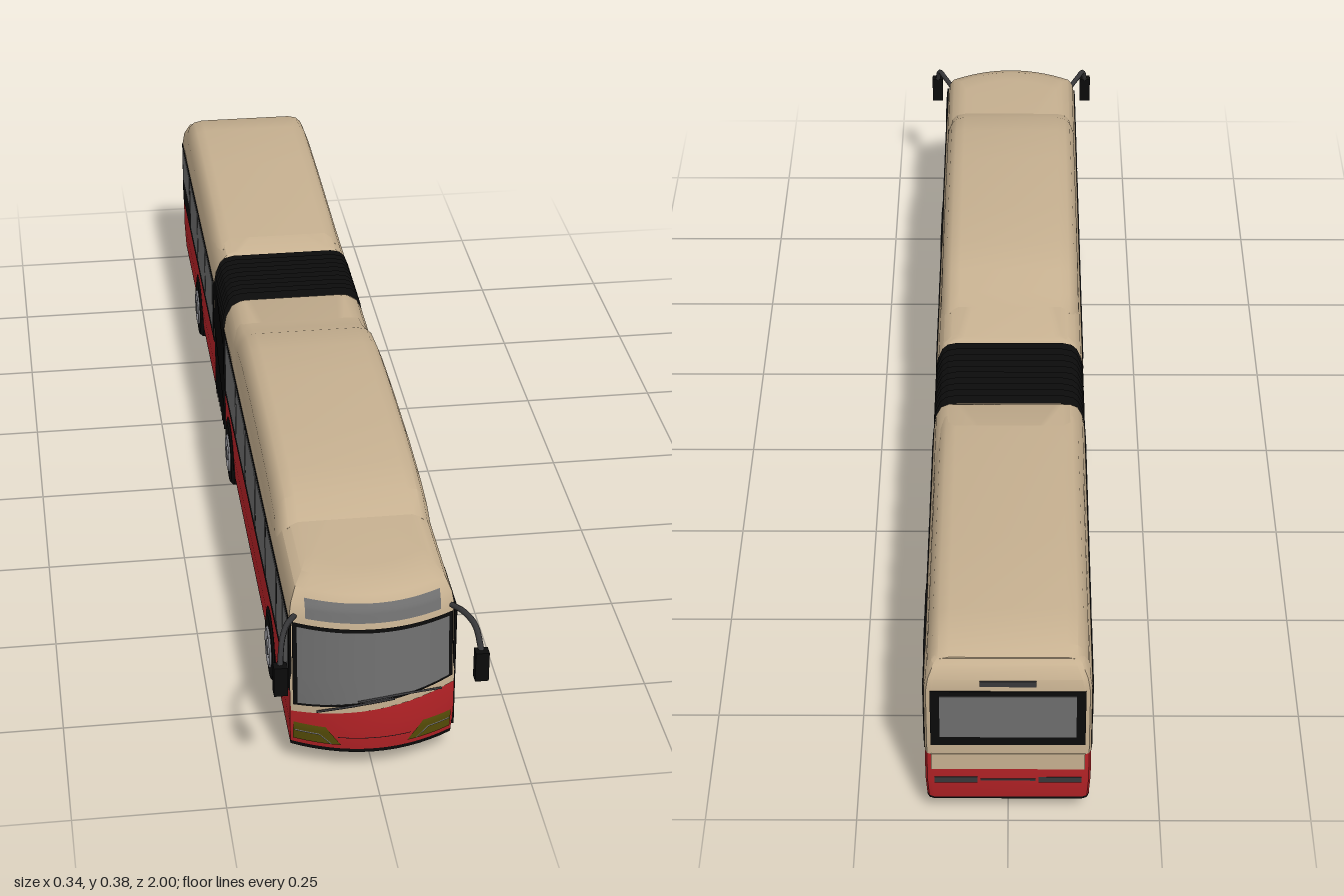
import * as THREE from 'three';
import { toCreasedNormals } from 'three/addons/utils/BufferGeometryUtils.js';

const mat = (name, color) => {
  const m = new THREE.MeshStandardMaterial({ color });
  m.name = name;
  return m;
};

export function createModel() {
  const bus = new THREE.Group();
  bus.name = 'articulatedBus';
  const red = mat('red', 0xb82327), beige = mat('beige', 0xc6b090), black = mat('black', 0x0b0b0b);
  const glass = mat('glass', 0x6e6e6e), olive = mat('olive', 0x5c5208), metal = mat('metal', 0x85858a);
  const darkGrey = mat('darkGrey', 0x38383a);

  const add = (name, geo, material, x = 0, y = 0, z = 0, parent = bus) => {
    const m = new THREE.Mesh(geo, material);
    m.name = name;
    m.position.set(x, y, z);
    parent.add(m);
    return m;
  };
  const box = (name, material, x0, x1, y0, y1, z0, z1) =>
    add(name, new THREE.BoxGeometry(x1 - x0, y1 - y0, z1 - z0), material, (x0 + x1) / 2, (y0 + y1) / 2, (z0 + z1) / 2);

  // Skin through closed rings, optionally capped at start and end
  const loft = (rings, capStart, capEnd, crease = 0.6) => {
    const n = rings[0].length, pos = rings.flat(2), idx = [];
    for (let i = 0; i < rings.length - 1; i++) {
      for (let k = 0; k < n; k++) {
        const a = i * n + k, b = i * n + (k + 1) % n;
        idx.push(a, b, b + n, a, b + n, a + n);
      }
    }
    const cap = (ring, base, flip) => {
      const c = pos.length / 3;
      for (let j = 0; j < 3; j++) pos.push(ring.reduce((t, p) => t + p[j], 0) / n);
      for (let k = 0; k < n; k++) {
        const a = base + k, b = base + (k + 1) % n;
        if (flip) idx.push(c, b, a); else idx.push(c, a, b);
      }
    };
    if (capStart) cap(rings[0], 0, true);
    if (capEnd) cap(rings[rings.length - 1], (rings.length - 1) * n, false);
    const g = new THREE.BufferGeometry();
    g.setAttribute('position', new THREE.Float32BufferAttribute(pos, 3));
    g.setIndex(idx);
    return toCreasedNormals(g, crease);
  };

  // Plan outline of a car at one height, with a bowed front
  const outline = ([y, w, zb, zf], bow) => {
    const r = 0.012, pts = [];
    pts.push([w, y, zb + r], [w - 0.3 * r, y, zb + 0.3 * r], [w - r, y, zb]);
    pts.push([-w + r, y, zb], [-w + 0.3 * r, y, zb + 0.3 * r], [-w, y, zb + r]);
    for (let i = 0; i <= 14; i++) {
      const t = i / 7 - 1;
      pts.push([w * t, y, zf - bow * t * t]);
    }
    return pts;
  };

  // Car bodies: [height, half width, back z, front z]
  const BOW = 0.04;
  const frontCar = [[0.045, 0.133, -0.12, 0.935], [0.09, 0.135, -0.12, 0.945], [0.15, 0.135, -0.12, 0.945],
    [0.285, 0.135, -0.12, 0.932], [0.31, 0.131, -0.12, 0.924], [0.33, 0.122, -0.118, 0.908],
    [0.341, 0.108, -0.112, 0.88], [0.345, 0.095, -0.105, 0.84]];
  const rearCar = [[0.045, 0.133, -0.99, -0.3], [0.09, 0.135, -1, -0.3], [0.15, 0.135, -1, -0.3],
    [0.285, 0.135, -1, -0.3], [0.31, 0.131, -0.997, -0.3], [0.33, 0.122, -0.985, -0.302],
    [0.341, 0.108, -0.965, -0.308], [0.345, 0.095, -0.94, -0.315]];
  for (const [name, layers, bow] of [['front', frontCar, BOW], ['rear', rearCar, 0]]) {
    const rings = layers.map(l => outline(l, bow));
    add(name + 'LowerBody', loft(rings.slice(0, 3)), red);
    add(name + 'UpperBody', loft(rings.slice(2), false, true), beige);
    const floor = rings[0].map(([x, , z]) => [x, 0.041, z]);
    add(name + 'Underside', loft([floor, rings[0]], true, true), black);
  }

  // Cross-section of roof pods and bellows, anticlockwise seen from the front
  const section = (z, bottom, top, s = 1) => {
    const half = [[0.134 * s, bottom], [0.134 * s, Math.min(0.29, top - 0.05)], [0.13 * s, top - 0.035],
      [0.122 * s, top - 0.014], [0.112 * s, top - 0.004], [0.095 * s, top]];
    return [...half.map(([x, y]) => [x, y, z]), ...half.reverse().map(([x, y]) => [-x, y, z])];
  };
  const pod = (name, profile) =>
    add(name, loft(profile.map(([z, top]) => section(z, 0.28, top, 0.995)), true, true), beige);
  pod('frontRoofPod', [[-0.02, 0.343], [0.03, 0.352], [0.08, 0.37], [0.16, 0.381], [0.28, 0.385],
    [0.46, 0.384], [0.58, 0.377], [0.65, 0.366], [0.705, 0.343]]);
  pod('rearRoofPod', [[-0.975, 0.338], [-0.955, 0.35], [-0.88, 0.358], [-0.7, 0.357], [-0.5, 0.352], [-0.34, 0.343]]);

  // Pleated bellows
  const pleats = [];
  for (let i = 0; i <= 20; i++) {
    const out = i % 2;
    pleats.push(section(-0.3 + 0.009 * i, out ? 0.05 : 0.058, out ? 0.348 : 0.337, out ? 1.015 : 0.95));
  }
  add('bellows', loft(pleats, false, false, 0.2), black);

  // Thin plate on a side wall
  const sidePlate = (name, s, z0, z1, y0, y1, level, material) => {
    const x = s * (0.1345 + level * 0.001);
    box(name, material, x - 0.002, x + 0.002, y0, y1, z0, z1);
  };
  const rightWindows = [[0.83, 0.895], [0.745, 0.82], [0.59, 0.735], [0.435, 0.58], [0.275, 0.425], [0.12, 0.265],
    [-0.07, 0.11], [-0.465, -0.32], [-0.625, -0.475], [-0.8, -0.635]];
  const leftWindows = [[0.6, 0.765], [0.445, 0.59], [0.09, 0.275], [-0.1, 0.08], [-0.545, -0.33], [-0.73, -0.555], [-0.975, -0.915]];
  const doors = [[0.78, 0.9], [0.285, 0.435], [-0.905, -0.74]];
  for (const s of [-1, 1]) {
    sidePlate('frontWindowBand', s, -0.115, 0.903, 0.152, 0.284, 0, black);
    sidePlate('rearWindowBand', s, -0.985, -0.305, 0.152, 0.284, 0, black);
    for (const [z0, z1] of s < 0 ? rightWindows : leftWindows)
      sidePlate('sideWindow', s, z0, z1, 0.168, 0.28, 1, glass);
  }
  sidePlate('rearQuarterWindow', -1, -0.97, -0.815, 0.205, 0.28, 1, glass);
  for (const [z0, z1] of doors) {
    const mid = (z0 + z1) / 2;
    sidePlate('doorFrame', 1, z0, z1, 0.06, 0.29, 1, black);
    sidePlate('doorLeaf', 1, z0 + 0.008, mid - 0.005, 0.07, 0.282, 2, glass);
    sidePlate('doorLeaf', 1, mid + 0.005, z1 - 0.008, 0.07, 0.282, 2, glass);
  }

  // Panels that follow the curved front; bottom and top are functions of x
  const frontZ = (x, y) => {
    let i = 0;
    while (i < frontCar.length - 2 && y > frontCar[i + 1][0]) i++;
    const a = frontCar[i], b = frontCar[i + 1], t = (y - a[0]) / (b[0] - a[0]);
    const w = a[1] + (b[1] - a[1]) * t;
    return a[3] + (b[3] - a[3]) * t - BOW * (x / w) ** 2;
  };
  const frontPanel = (name, material, x0, x1, bottom, top, level) => {
    const g = new THREE.PlaneGeometry(1, 1, 24, 6), p = g.attributes.position;
    for (let i = 0; i < p.count; i++) {
      const x = x0 + (x1 - x0) * (p.getX(i) + 0.5), v = p.getY(i) + 0.5;
      const y = bottom(x) + (top(x) - bottom(x)) * v;
      p.setXYZ(i, x, y, frontZ(x, y) + level * 0.0015);
    }
    g.computeVertexNormals();
    add(name, g, material);
  };
  const flat = y => () => y;
  const slope = y => x => y + 0.13 * x;
  frontPanel('slantedBeltPanel', beige, -0.134, 0.134, slope(0.133), flat(0.152), 1);
  frontPanel('windscreenFrame', black, -0.131, 0.131, slope(0.147), flat(0.282), 2);
  frontPanel('windscreen', glass, -0.124, 0.124, slope(0.152), flat(0.276), 3);
  frontPanel('destinationDisplay', glass, -0.11, 0.11, flat(0.291), flat(0.32), 1);
  frontPanel('bumperSeam', black, -0.133, 0.133, flat(0.045), flat(0.049), 1);
  frontPanel('grilleSeam', darkGrey, -0.06, 0.06, flat(0.074), flat(0.0755), 1);
  for (const s of [-1, 1]) {
    const range = (a, b) => s > 0 ? [a, b] : [-b, -a];
    const rise = x => 0.058 + 0.037 * Math.min(1, Math.max(0, (Math.abs(x) - 0.055) / 0.025));
    frontPanel('headlight', olive, ...range(0.055, 0.13), flat(0.057), rise, 1);
    const trim = x => 0.06 + 0.02 * Math.min(1, Math.max(0, (Math.abs(x) - 0.07) / 0.02));
    frontPanel('headlightTrim', metal, ...range(0.07, 0.128), x => trim(x) - 0.003, trim, 2);
  }

  // Windscreen wipers
  const tube = (name, pts, r, material) => add(name, new THREE.TubeGeometry(
    new THREE.CatmullRomCurve3(pts.map(p => new THREE.Vector3(...p))), 16, r, 6), material);
  for (const pts of [[[-0.095, 0.128], [-0.04, 0.145], [0.03, 0.155]], [[0.11, 0.152], [0.06, 0.16], [-0.03, 0.153]]])
    tube('wiper', pts.map(([x, y]) => [x, y, frontZ(x, y) + 0.008]), 0.002, darkGrey);

  // Mirrors on curved arms
  for (const s of [-1, 1]) {
    tube('mirrorArm', [[s * 0.128, 0.295, 0.9], [s * 0.143, 0.299, 0.93], [s * 0.155, 0.294, 0.965], [s * 0.161, 0.262, 0.988]], 0.005, darkGrey);
    box('mirror', black, s * 0.161 - 0.011, s * 0.161 + 0.011, 0.212, 0.265, 0.982, 1);
  }

  // Rear face
  box('rearBeltPanel', beige, -0.125, 0.125, 0.118, 0.152, -1.001, -0.997);
  box('rearWindowFrame', black, -0.125, 0.125, 0.172, 0.288, -1.001, -0.997);
  box('rearWindow', glass, -0.11, 0.11, 0.19, 0.278, -1.002, -0.998);
  box('rearDisplay', darkGrey, -0.045, 0.045, 0.297, 0.308, -1, -0.99);
  for (const s of [-1, 1])
    box('rearLamps', darkGrey, s * 0.085 - 0.035, s * 0.085 + 0.035, 0.088, 0.1, -1.001, -0.997);
  box('rearTrim', darkGrey, -0.045, 0.045, 0.092, 0.096, -1.001, -0.997);
  tube('exhaust', [[-0.09, 0.042, -0.88], [-0.09, 0.044, -0.94], [-0.09, 0.046, -0.99]], 0.006, metal);

  // Wheels, with twin tyres on the two rear axles
  const tyreGeo = new THREE.LatheGeometry([[0.03, -0.018], [0.056, -0.018], [0.062, -0.012], [0.062, 0.012],
    [0.056, 0.018], [0.03, 0.018]].map(p => new THREE.Vector2(...p)), 32);
  const tyre = toCreasedNormals(tyreGeo.rotateZ(-Math.PI / 2), 0.5);
  const disc = (r, h, n = 24) => new THREE.CylinderGeometry(r, r, h, n).rotateZ(Math.PI / 2);
  for (const z of [0.645, -0.015, -0.63]) {
    for (const s of [-1, 1]) {
      const wheel = new THREE.Group();
      wheel.name = 'wheel';
      wheel.position.set(s * 0.121, 0.062, z);
      bus.add(wheel);
      add('tyre', tyre, black, 0, 0, 0, wheel);
      add('innerTyre', tyre, black, -s * 0.041, 0, 0, wheel);
      add('wheelDisc', disc(0.034, 0.03), darkGrey, 0, 0, 0, wheel);
      add('rim', new THREE.TorusGeometry(0.033, 0.0035, 8, 28).rotateY(Math.PI / 2), metal, s * 0.018, 0, 0, wheel);
      add('hub', disc(0.014, 0.012), metal, s * 0.016, 0, 0, wheel);
      for (let i = 0; i < 8; i++) {
        const a = i * Math.PI / 4;
        add('wheelBolt', disc(0.005, 0.006, 8), metal, s * 0.015, 0.023 * Math.cos(a), 0.023 * Math.sin(a), wheel);
      }
      add('wheelArch', new THREE.CircleGeometry(0.07, 24, 0, Math.PI).rotateY(s * Math.PI / 2), black, s * 0.1362, 0.062, z);
    }
    add('axle', disc(0.012, 0.2, 12), black, 0, 0.062, z);
  }
  return bus;
}
